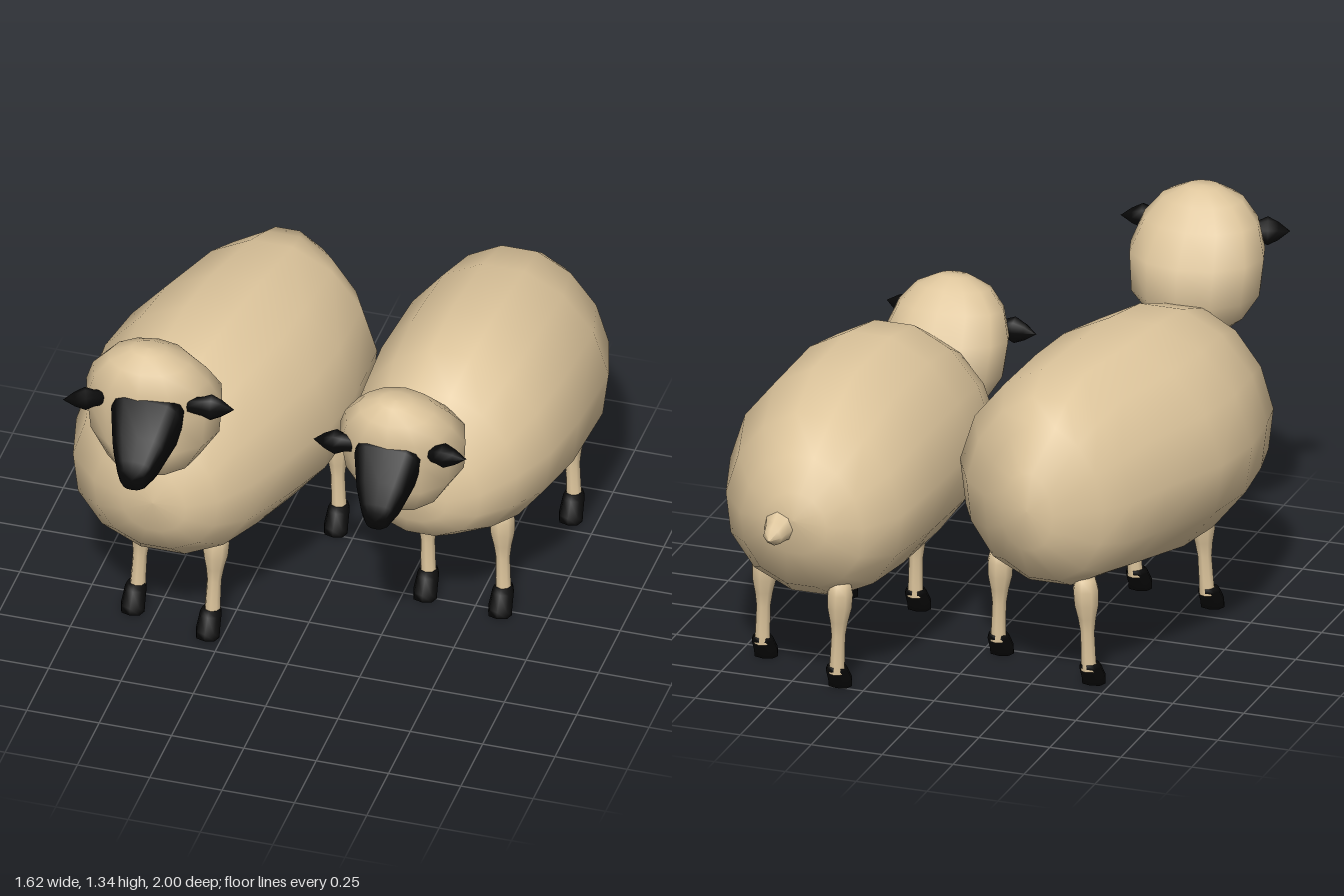
import * as THREE from 'three';

const wool = new THREE.MeshStandardMaterial({ color: 0xdec69d });
wool.name = 'creamWool';
const black = new THREE.MeshStandardMaterial({ color: 0x080808 });
black.name = 'blackHide';

// Smooth closed skin through rings. Ring: [x, y, z, rx, r2]; rings lie across the z or y axis.
// A power below 1 squares the ring off; taper widens its upper (+) or lower (-) half.
function loft(rings, axis, sides, power = 1, taper = 0) {
  const pos = [], idx = [];
  const bend = (v) => Math.sign(v) * Math.abs(v) ** power;
  rings.forEach(([x, y, z, rx, r2], i) => {
    for (let j = 0; j < sides; j++) {
      const a = (j / sides) * Math.PI * 2;
      const s = bend(Math.sin(a));
      const u = bend(Math.cos(a)) * rx * (1 + taper * s), v = s * r2;
      if (axis === 'z') pos.push(x + u, y + v, z);
      else pos.push(x + u, y, z - v);
      if (i < rings.length - 1) {
        const p = i * sides + j, q = i * sides + ((j + 1) % sides);
        idx.push(p, q, p + sides, q, q + sides, p + sides);
      }
    }
  });
  const g = new THREE.BufferGeometry();
  g.setAttribute('position', new THREE.Float32BufferAttribute(pos, 3));
  g.setIndex(idx);
  g.computeVertexNormals();
  return g;
}

function add(group, name, geometry, material) {
  const mesh = new THREE.Mesh(geometry, material);
  mesh.name = name;
  group.add(mesh);
  return mesh;
}

// Turned shape pointing from one point to another, flattened in depth
function spike(group, name, profile, [from, to], depth, material) {
  const a = new THREE.Vector3(...from), d = new THREE.Vector3(...to).sub(a);
  const pts = profile.map(([r, t]) => new THREE.Vector2(r, t * d.length()));
  const mesh = add(group, name, new THREE.LatheGeometry(pts, 8), material);
  mesh.geometry.scale(1, 1, depth);
  mesh.position.copy(a);
  mesh.quaternion.setFromUnitVectors(new THREE.Vector3(0, 1, 0), d.normalize());
}

// Leg with knobbly knee and forward-slanting hoof; x and z locate the hoof
const SHIN = [[0.06, 0.028], [0.12, 0.026], [0.2, 0.025], [0.25, 0.032], [0.3, 0.043], [0.35, 0.045], [0.39, 0.036], [0.4, 0]];
const HOOF = [[0, 0.008, 0, 0], [0, 0.008, 0.041, 0.036], [0.025, 0.004, 0.041, 0.038],
  [0.07, -0.028, 0.037, 0.036], [0.085, -0.034, 0.03, 0.03], [0.085, -0.034, 0, 0]];

function addLeg(group, name, x, z, splay) {
  const leg = new THREE.Group();
  leg.name = name;
  add(leg, 'shin', loft(SHIN.map(([y, r]) => [x - splay * y / 0.38, y, z - 0.035 - 0.03 * y, r, r]), 'y', 8), wool);
  add(leg, 'hoof', loft(HOOF.map(([y, dz, rx, rz]) => [x, y, z + dz, rx, rz]), 'y', 8, 0.8), black);
  group.add(leg);
}

// Head rows: [height, z shift, half width, half depth]
const HEAD = [[-0.255, 0, 0, 0], [-0.245, 0.0, 0.07, 0.05], [-0.18, 0.02, 0.155, 0.16], [-0.08, 0.0, 0.222, 0.2],
  [0.05, 0.01, 0.235, 0.195], [0.15, 0.05, 0.2, 0.15], [0.22, 0.065, 0.14, 0.11], [0.257, 0.07, 0.06, 0.05], [0.26, 0.07, 0, 0]];
// Face rows: [z, height, half width, half height]
const FACE = [[0.08, 0.025, 0.1, 0.1], [0.17, 0.025, 0.115, 0.115], [0.2, 0.022, 0.112, 0.115],
  [0.29, -0.035, 0.082, 0.088], [0.34, -0.068, 0.055, 0.055], [0.36, -0.075, 0.04, 0.038], [0.362, -0.075, 0, 0]];
const EAR = [[0, 0], [0.026, 0.04], [0.036, 0.35], [0.048, 0.52], [0.03, 0.75], [0, 1]];
const TAIL = [[0.085, 0], [0.055, 0.4], [0.042, 0.6], [0.034, 0.8], [0, 1]];

function addHead(group, { at, size, pitch, muzzleShift }) {
  const head = new THREE.Group();
  head.name = 'head';
  head.position.set(...at);
  head.scale.setScalar(size);
  head.rotation.x = pitch;
  add(head, 'woolCap', loft(HEAD.map(([y, z, rx, rz]) => [0, y, z, rx, rz]), 'y', 12), wool);
  add(head, 'face', loft(FACE.map(([z, y, rx, ry]) => [muzzleShift, y, z, rx, ry]), 'z', 16, 0.6, 0.2), black);
  group.add(head);
}

function makeSheep(name, { body, head, ears, legs, tail }) {
  const sheep = new THREE.Group();
  sheep.name = name;
  // body rows: [z, centre x, half width, centre y, half height]
  add(sheep, 'body', loft(body.map(([z, x, rx, y, ry]) => [x, y, z, rx, ry]), 'z', 14, 1, -0.11), wool);
  addHead(sheep, head);
  ['leftEar', 'rightEar'].forEach((n, i) => spike(sheep, n, EAR, ears[i], 0.7, black));
  ['frontRightLeg', 'frontLeftLeg', 'backRightLeg', 'backLeftLeg'].forEach((n, i) => addLeg(sheep, n, ...legs[i]));
  if (tail) spike(sheep, 'tail', TAIL, tail, 1, wool);
  return sheep;
}

export function createModel() {
  const model = new THREE.Group();
  model.name = 'sheepPair';
  model.add(makeSheep('tallSheep', {
    body: [[-0.68, -0.3, 0, 0.69, 0], [-0.675, -0.3, 0.09, 0.69, 0.14], [-0.585, -0.325, 0.21, 0.69, 0.28],
      [-0.48, -0.31, 0.295, 0.69, 0.335], [-0.35, -0.31, 0.365, 0.705, 0.37], [-0.1, -0.36, 0.417, 0.7, 0.392],
      [0.1, -0.388, 0.422, 0.7, 0.395], [0.3, -0.415, 0.375, 0.7, 0.375], [0.47, -0.44, 0.31, 0.68, 0.335],
      [0.58, -0.43, 0.215, 0.67, 0.23], [0.64, -0.42, 0.11, 0.67, 0.12], [0.65, -0.42, 0, 0.67, 0]],
    head: { at: [-0.415, 1.083, 0.64], size: 1, pitch: 0, muzzleShift: 0.027 },
    ears: [[[-0.27, 1.185, 0.77], [-0.11, 1.178, 0.745]], [[-0.53, 1.168, 0.78], [-0.675, 1.165, 0.835]]],
    legs: [[-0.58, 0.34, -0.02], [-0.3, 0.41, -0.015], [-0.44, -0.42, -0.01], [-0.065, -0.28, 0.015]],
  }));
  model.add(makeSheep('shortSheep', {
    body: [[-0.93, 0.43, 0, 0.65, 0], [-0.92, 0.43, 0.115, 0.64, 0.11], [-0.85, 0.43, 0.215, 0.62, 0.235],
      [-0.72, 0.435, 0.31, 0.63, 0.325], [-0.5, 0.445, 0.365, 0.66, 0.37], [-0.2, 0.43, 0.367, 0.67, 0.378],
      [0, 0.415, 0.345, 0.67, 0.345], [0.13, 0.395, 0.29, 0.65, 0.285], [0.23, 0.38, 0.205, 0.62, 0.2],
      [0.27, 0.37, 0.11, 0.6, 0.1], [0.28, 0.37, 0, 0.6, 0]],
    head: { at: [0.335, 0.822, 0.272], size: 0.92, pitch: 0.13, muzzleShift: -0.005 },
    ears: [[[0.43, 0.885, 0.4], [0.595, 0.9, 0.42]], [[0.22, 0.87, 0.4], [0.06, 0.86, 0.4]]],
    legs: [[0.325, -0.01, 0.01], [0.59, 0.01, 0.01], [0.34, -0.73, 0.02], [0.66, -0.57, 0.015]],
    tail: [[0.48, 0.63, -0.86], [0.49, 0.595, -1]],
  }));
  return model;
}
